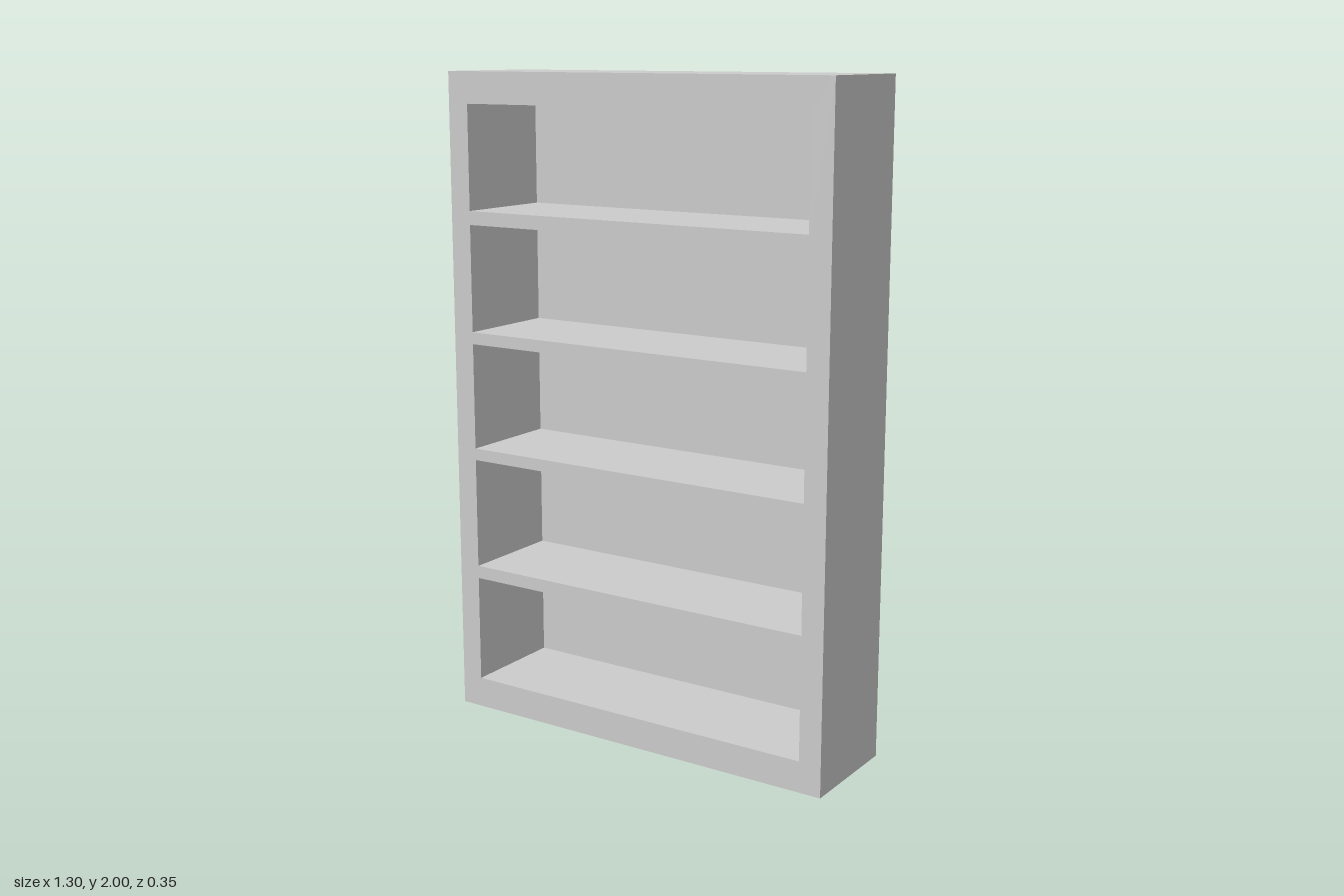
import * as THREE from 'three';

const W = 1.3, H = 2, D = 0.35;   // outer size
const BACK = 0.02;                // back panel thickness
const INNER = 0.58;               // half width of the compartments

// bottom and top of each open compartment
const COMPARTMENTS = [
  [0.095, 0.43], [0.47, 0.814], [0.851, 1.18], [1.217, 1.545], [1.587, 1.905],
];

function rectangle(path, x0, y0, x1, y1) {
  path.moveTo(x0, y0);
  path.lineTo(x1, y0);
  path.lineTo(x1, y1);
  path.lineTo(x0, y1);
  path.closePath();
  return path;
}

export function createModel() {
  const group = new THREE.Group();
  group.name = 'bookcase';
  const material = new THREE.MeshStandardMaterial({ color: 0xcccccc });

  // sides, top, plinth and shelves as one pierced frame
  const outline = rectangle(new THREE.Shape(), -W / 2, 0, W / 2, H);
  for (const [bottom, top] of COMPARTMENTS) {
    outline.holes.push(rectangle(new THREE.Path(), -INNER, bottom, INNER, top));
  }
  const frame = new THREE.Mesh(
    new THREE.ExtrudeGeometry(outline, { depth: D - BACK, bevelEnabled: false }),
    material,
  );
  frame.name = 'shelfFrame';
  frame.position.z = -D / 2 + BACK;
  group.add(frame);

  // panel closing the back
  const back = new THREE.Mesh(new THREE.BoxGeometry(W, H, BACK), material);
  back.name = 'backPanel';
  back.position.set(0, H / 2, -D / 2 + BACK / 2);
  group.add(back);

  return group;
}
